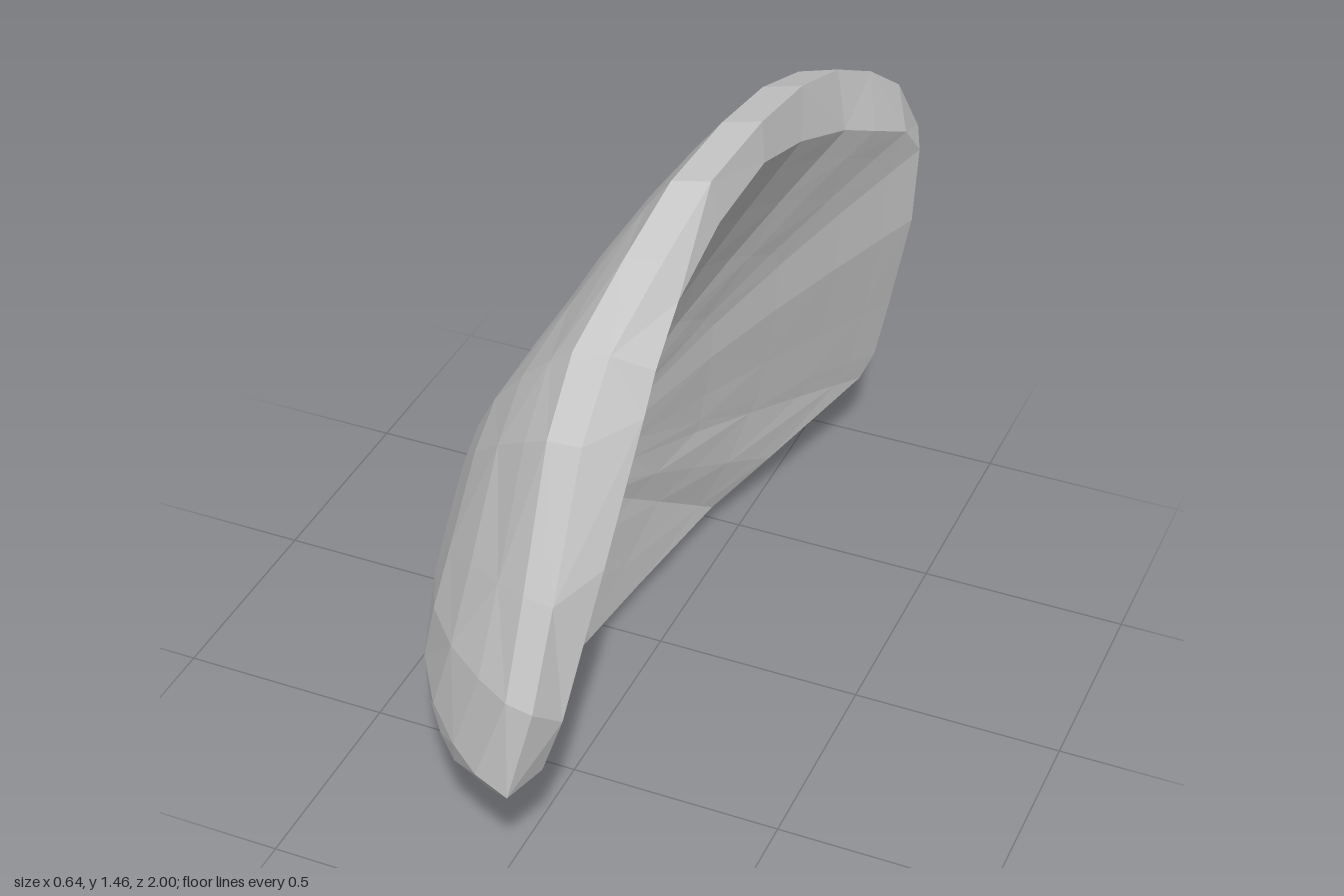
import * as THREE from 'three';

const grey = new THREE.MeshStandardMaterial({ color: 0xcccccc });
grey.name = 'stoneGrey';

// Rim stations running front, top, back, bottom:
// outline z, y, x, then inner lip z, y, x
const RIM = [
  [1, 0.36, 0.08, 0.91, 0.38, 0.12],
  [0.99, 0.6, 0.14, 0.91, 0.53, 0.17],
  [0.9, 0.82, 0.15, 0.78, 0.85, 0.21],
  [0.75, 1.12, 0.15, 0.62, 1.13, 0.23],
  [0.63, 1.27, 0.16, 0.56, 1.21, 0.23],
  [0.4, 1.37, 0.18, 0.42, 1.29, 0.22],
  [0.2, 1.45, 0.2, 0.2, 1.355, 0.22],
  [-0.06, 1.457, 0.21, -0.04, 1.37, 0.225],
  [-0.3, 1.42, 0.21, -0.25, 1.31, 0.23],
  [-0.5, 1.36, 0.22, -0.48, 1.22, 0.25],
  [-0.64, 1.29, 0.25, -0.6, 1.16, 0.28],
  [-0.76, 1.2, 0.28, -0.74, 1.09, 0.31],
  [-0.86, 1.04, 0.3, -0.82, 1, 0.32],
  [-0.93, 0.8, 0.26, -0.85, 0.78, 0.3],
  [-0.99, 0.5, 0.19, -0.89, 0.5, 0.24],
  [-1, 0.33, 0.18, -0.91, 0.32, 0.2],
  [-0.94, 0.24, 0.13, -0.89, 0.25, 0.17],
  [-0.72, 0.14, 0.01, -0.6, 0.155, 0.04],
  [-0.46, 0.045, -0.07, -0.44, 0.083, -0.05],
  [-0.15, 0, -0.14, -0.1, 0.07, -0.1],
  [0.15, 0.02, -0.16, 0.15, 0.08, -0.12],
  [0.5, 0.1, -0.13, 0.45, 0.17, -0.1],
  [0.72, 0.19, -0.1, 0.62, 0.22, -0.06],
  [0.92, 0.29, 0, 0.8, 0.26, 0],
];
const STEPS = [0, 0.08, 0.2, 0.36, 0.54, 0.76, 1];

// Rings shrinking from an edge loop to a centre; each direction has its own
// steepness, blended from the values for top, front, back and bottom
function bowlRings(edge, centre, steep) {
  return STEPS.map((s) => edge.map((e) => {
    const dz = e.z - centre.z, dy = e.y - centre.y;
    const along = Math.abs(dz) / (Math.abs(dz) + Math.abs(dy));
    const p = THREE.MathUtils.lerp(
      dy > 0 ? steep.top : steep.bottom, dz > 0 ? steep.front : steep.back, along);
    const v = e.clone().lerp(centre, s);
    v.x = THREE.MathUtils.lerp(e.x, centre.x, 1 - (1 - s) ** p);
    return v;
  }));
}

// Faceted surface joining consecutive rings
function loft(name, rings) {
  const pos = [];
  const tri = (...pts) => {
    const area = new THREE.Triangle(...pts).getArea();
    if (area > 1e-7) pts.forEach((v) => pos.push(v.x, v.y, v.z));
  };
  for (let k = 0; k < rings.length - 1; k++) {
    const a = rings[k], b = rings[k + 1];
    for (let i = 0; i < a.length; i++) {
      const j = (i + 1) % a.length;
      if ((i + k) % 2) {
        tri(a[i], b[i], b[j]);
        tri(a[i], b[j], a[j]);
      } else {
        tri(a[i], b[i], a[j]);
        tri(b[i], b[j], a[j]);
      }
    }
  }
  const geo = new THREE.BufferGeometry();
  geo.setAttribute('position', new THREE.Float32BufferAttribute(pos, 3));
  geo.computeVertexNormals();
  const mesh = new THREE.Mesh(geo, grey);
  mesh.name = name;
  return mesh;
}

export function createModel() {
  const outerCentre = new THREE.Vector3(-0.325, 0.5, 0.25);
  const innerCentre = new THREE.Vector3(-0.13, 0.58, 0.25);
  const outline = RIM.map(([z, y, x]) => new THREE.Vector3(x, y, z));
  const lip = RIM.map((r) => new THREE.Vector3(r[5], r[4], r[3]));

  // Back edge of the rim, slightly inside the outline; the rim is thickest
  // at the lower front corner
  const backEdge = outline.map((v) => {
    const up = THREE.MathUtils.clamp((v.y - 0.5) / 0.9, -1, 1);
    const dir = new THREE.Vector2(v.z - 0.25, v.y - 0.5).normalize();
    const corner = 2 * Math.max(0, dir.x) * Math.max(0, -dir.y);
    const e = v.clone().lerp(new THREE.Vector3(v.x, 0.5, 0.25), 0.02 + 0.07 * corner);
    e.x -= 0.065 + 0.025 * up + 0.08 * corner;
    return e;
  });

  const group = new THREE.Group();
  group.name = 'curvedShell';
  group.add(
    loft('outerDome', bowlRings(backEdge, outerCentre, { top: 1.6, front: 3.3, back: 2.2, bottom: 4.4 }).reverse()),
    loft('rim', [backEdge, outline, lip]),
    loft('innerBowl', bowlRings(lip, innerCentre, { top: 1.2, front: 1.7, back: 1.4, bottom: 1.4 })),
  );
  return group;
}
